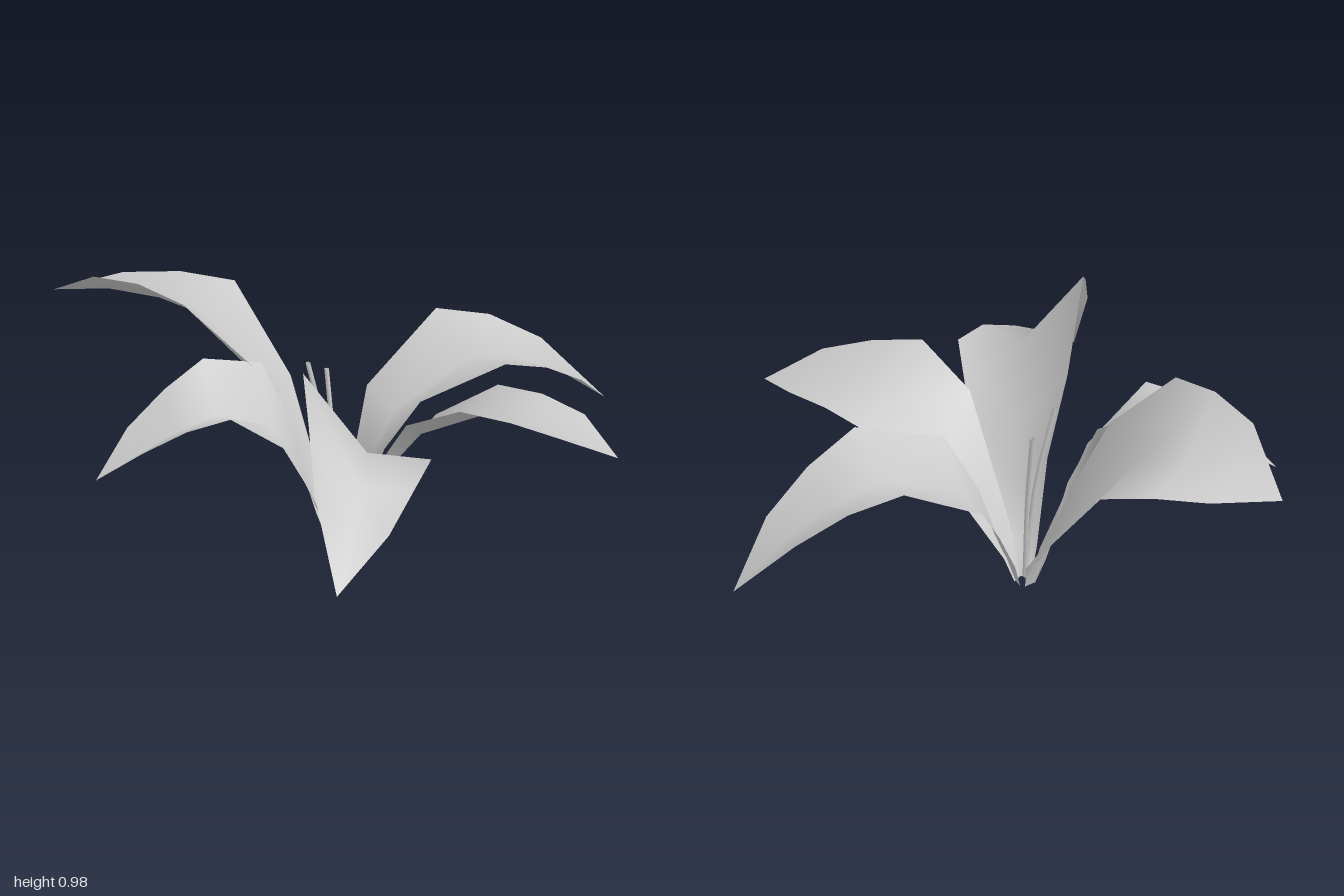
import * as THREE from 'three';

const V = (x, y, z) => new THREE.Vector3(x, y, z);

// Centre of the flower's throat on the ground
const THROAT = V(-0.09, 0, -0.14);

// Midrib through rise, crest, bend and tip; span is half the width at the crest,
// lift raises the edges above the midrib, twist tilts the petal near the throat
const PETALS = [
  { name: 'backRightPetal', span: V(-0.155, 0.1, 0.235), lift: 0.1, twist: 0.06,
    rib: [V(-0.27, 0.5, -0.4), V(-0.465, 0.75, -0.535), V(-0.785, 0.8, -0.74), V(-0.96, 0.76, -0.85)] },
  { name: 'backLeftPetal', span: V(-0.07, 0, -0.23), lift: 0.09, twist: -0.055,
    rib: [V(0.14, 0.45, -0.225), V(0.45, 0.57, -0.32), V(0.815, 0.4, -0.435), V(0.99, 0.24, -0.49)] },
  { name: 'frontLeftPetal', span: V(0.12, -0.065, -0.19), lift: 0.075, twist: -0.02,
    rib: [V(0.175, 0.49, 0.035), V(0.36, 0.6, 0.15), V(0.66, 0.58, 0.35), V(0.8, 0.53, 0.45)] },
  { name: 'frontPetal', span: V(0.22, -0.17, 0.07), lift: 0.15, twist: 0,
    rib: [V(-0.095, 0.46, 0.17), V(-0.12, 0.66, 0.41), V(-0.255, 0.5, 0.715), V(-0.35, 0.35, 0.87)] },
  { name: 'rightPetal', span: V(0.01, -0.04, 0.16), lift: 0.11, twist: -0.08,
    rib: [V(-0.335, 0.51, -0.12), V(-0.555, 0.61, -0.07), V(-0.855, 0.48, -0.08), V(-1, 0.4, -0.08)] },
];

// Shared petal outline: place along the midrib, share of the span, share of the twist,
// and a slight counter-tilt towards the tip
const ROWS = [
  { t: 0.125, width: 0.42, twist: 0.8, curl: 0 },
  { t: 0.25, width: 0.77, twist: 1, curl: 0 },
  { t: 0.5, width: 1, twist: 0, curl: 0 },
  { t: 0.625, width: 0.82, twist: 0, curl: 0.015 },
  { t: 0.75, width: 0.58, twist: 0, curl: 0.02 },
];

// Surface through rows of left, midrib and right points, closing at the tip
function petalGeometry({ rib, span, lift, twist }) {
  const out = rib[0].clone().sub(THROAT).setY(0).normalize();
  const side = V(out.z, 0, -out.x);
  const neck = THROAT.clone().addScaledVector(out, 0.06).setY(0.1);
  const foot = THROAT.clone().addScaledVector(out, 0.03);
  const curve = new THREE.CatmullRomCurve3([neck, ...rib]);
  const points = [];

  function addRow(mid, halfSpan, rise) {
    for (const s of [1, 0, -1]) {
      const p = mid.clone().addScaledVector(halfSpan, s);
      p.y += rise * Math.abs(s);
      points.push(p);
    }
  }

  addRow(foot, side.clone().multiplyScalar(0.024), 0);
  addRow(neck, side.clone().multiplyScalar(0.046), 0);
  for (const row of ROWS) {
    const halfSpan = span.clone().multiplyScalar(row.width);
    halfSpan.y += twist * row.twist + row.curl;
    addRow(curve.getPoint(row.t), halfSpan, lift * row.width);
  }

  const index = [];
  const last = points.length - 3;
  for (let a = 0; a < last; a += 3) {
    for (const i of [a, a + 1]) index.push(i, i + 1, i + 3, i + 1, i + 4, i + 3);
  }
  index.push(last, last + 1, last + 3, last + 1, last + 2, last + 3);
  points.push(rib[3]);

  const geometry = new THREE.BufferGeometry().setFromPoints(points);
  geometry.setIndex(index);
  geometry.computeVertexNormals();
  return geometry;
}

// Slender stalk rising from the throat and leaning outwards towards its top
function stamenGeometry(top) {
  const middle = THROAT.clone().lerp(top, 0.35).setY(top.y * 0.55);
  const curve = new THREE.CatmullRomCurve3([THROAT.clone().setY(0.02), middle, top]);
  return new THREE.TubeGeometry(curve, 6, 0.009, 5);
}

export function createModel() {
  const group = new THREE.Group();
  group.name = 'flower';
  const material = new THREE.MeshStandardMaterial({ color: 0xcccccc, side: THREE.DoubleSide });

  function add(name, geometry) {
    const mesh = new THREE.Mesh(geometry, material);
    mesh.name = name;
    group.add(mesh);
  }

  for (const petal of PETALS) add(petal.name, petalGeometry(petal));
  add('frontStamen', stamenGeometry(V(-0.2, 0.74, -0.14)));
  add('backStamen', stamenGeometry(V(-0.11, 0.66, -0.22)));
  return group;
}
